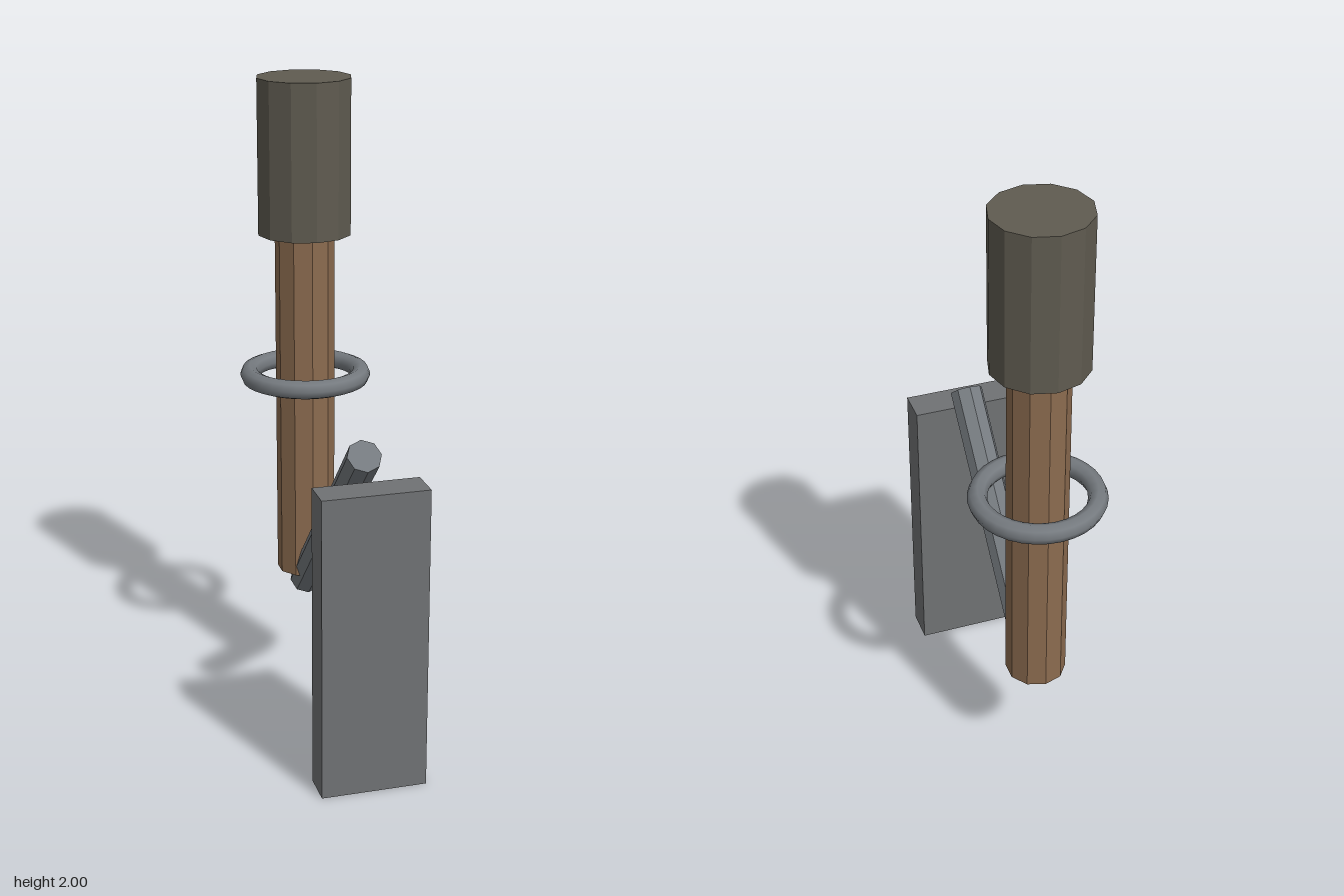
import * as THREE from 'three';

const HANDLE_Z = -0.288;

function part(name, geometry, color, position, flatShading = true) {
  const material = new THREE.MeshStandardMaterial({ color, flatShading });
  const mesh = new THREE.Mesh(geometry, material);
  mesh.name = name;
  mesh.position.set(...position);
  return mesh;
}

export function createModel() {
  const model = new THREE.Group();
  model.name = 'model';

  // Broad head on top of the wooden handle
  model.add(part('head', new THREE.CylinderGeometry(0.147, 0.147, 0.48, 12), 0x5f5b50, [0, 1.76, HANDLE_Z]));
  model.add(part('handle', new THREE.CylinderGeometry(0.0926, 0.0926, 1.118, 10), 0x8b6b4f, [0, 0.962, HANDLE_Z]));

  // Loose ring around the handle
  const ring = new THREE.TorusGeometry(0.176, 0.03, 8, 32).rotateX(Math.PI / 2);
  model.add(part('ring', ring, 0x757a7f, [0, 1.065, HANDLE_Z], false));

  // Slanted strut from the foot of the handle towards the plate
  const strut = part('strut', new THREE.CylinderGeometry(0.052, 0.052, 0.935, 8), 0x757a7f, [0, 0.685, 0.038]);
  strut.rotation.x = Math.PI / 4;
  model.add(strut);

  // Upright front plate
  model.add(part('plate', new THREE.BoxGeometry(0.323, 0.942, 0.107), 0x707274, [0, 0.471, 0.44]));

  return model;
}
